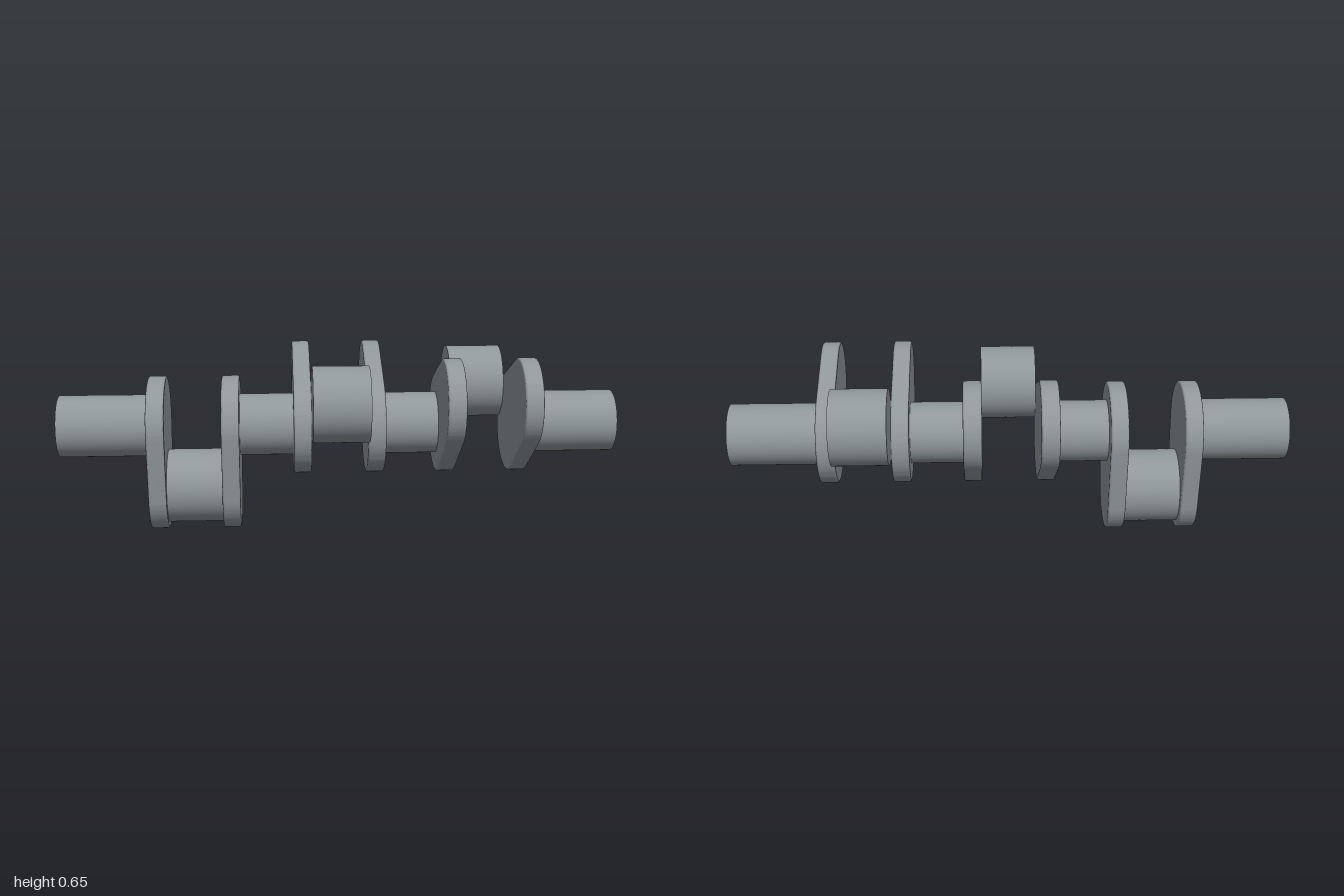
import * as THREE from 'three';
import { toCreasedNormals } from 'three/addons/utils/BufferGeometryUtils.js';

const AXIS_Y = 0.384;      // height of the shaft axis
const THROW = 0.226;       // crank pin offset from the axis
const HUB_R = 0.178, TIP_R = 0.156;
const MAIN_R = 0.111, PIN_R = 0.133;
const WEB_T = 0.064, BEVEL = 0.008;

// Pear-shaped web: hull of the hub circle and the tip circle, rounded edges, thickness along x
function webGeometry() {
  const a = Math.asin((HUB_R - TIP_R) / THROW);
  const shape = new THREE.Shape();
  shape.absarc(0, THROW, TIP_R - BEVEL, a, Math.PI - a, false);
  shape.absarc(0, 0, HUB_R - BEVEL, Math.PI - a, 2 * Math.PI + a, false);
  const geo = new THREE.ExtrudeGeometry(shape, {
    depth: WEB_T - 2 * BEVEL, curveSegments: 32,
    bevelEnabled: true, bevelThickness: BEVEL, bevelSize: BEVEL, bevelSegments: 5,
  });
  geo.translate(0, 0, -WEB_T / 2 + BEVEL);
  geo.rotateY(Math.PI / 2);
  return toCreasedNormals(geo, 0.14);
}

export function createModel() {
  const model = new THREE.Group();
  model.name = 'crankshaft';
  const steel = new THREE.MeshStandardMaterial({ color: 0x8f979b });
  steel.name = 'steel grey';

  const shaft = new THREE.Group();
  shaft.name = 'shaft';
  shaft.position.y = AXIS_Y;
  model.add(shaft);

  // Cylinder along x from x0 to x1, offset from the axis at a given angle
  function addRod(name, r, x0, x1, offset = 0, angle = 0) {
    const geo = new THREE.CylinderGeometry(r, r, x1 - x0, 72);
    geo.rotateZ(Math.PI / 2);
    const rod = new THREE.Mesh(geo, steel);
    rod.name = name;
    rod.position.set((x0 + x1) / 2, offset * Math.cos(angle), offset * Math.sin(angle));
    shaft.add(rod);
  }

  // Main journals
  [[-1, -0.679], [-0.356, -0.163], [0.163, 0.356], [0.679, 1]].forEach(([x0, x1], i) =>
    addRod(`mainJournal${i + 1}`, MAIN_R, x0, x1));

  // Three throws: a pair of webs and a pin; pins of the outer-angle throws sit opposite in z
  const webGeo = webGeometry();
  const third = Math.PI / 3;
  [[-0.517, Math.PI], [0, -third], [0.517, third]].forEach(([x, angle], i) => {
    for (const side of [-1, 1]) {
      const web = new THREE.Mesh(webGeo, steel);
      web.name = `web${i + 1}${side < 0 ? 'Right' : 'Left'}`;
      web.position.x = x + side * 0.131;
      web.rotation.x = angle;
      shaft.add(web);
    }
    addRod(`crankPin${i + 1}`, PIN_R, x - 0.099, x + 0.099, THROW, -angle);
  });

  return model;
}
